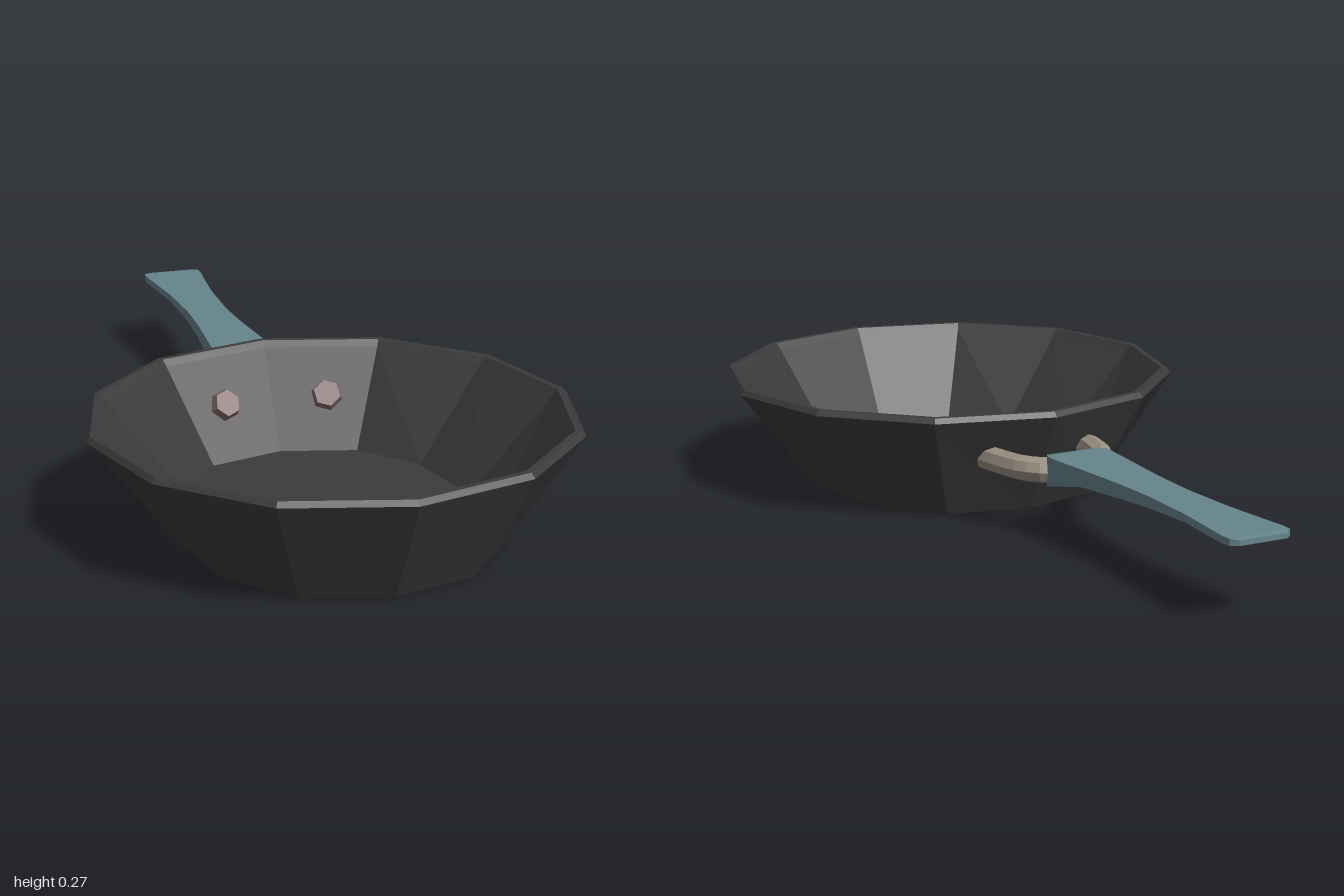
import * as THREE from 'three';

const material = (color) => new THREE.MeshStandardMaterial({ color, flatShading: true });

// Skins a row of equal-sized rings and closes both ends with a fan.
function loft(rings) {
  const n = rings[0].length;
  const points = rings.flat();
  const index = [];
  const centre = (ring) => ring.reduce((sum, p) => sum.add(p), new THREE.Vector3()).divideScalar(n);
  const start = points.push(centre(rings[0])) - 1;
  const end = points.push(centre(rings[rings.length - 1])) - 1;
  const last = (rings.length - 1) * n;
  for (let k = 0; k < n; k++) {
    const next = (k + 1) % n;
    for (let i = 0; i < last; i += n) {
      const a = i + k, b = i + next, c = b + n, d = a + n;
      index.push(a, d, c, a, c, b);
    }
    index.push(start, k, next, end, last + next, last + k);
  }
  const geometry = new THREE.BufferGeometry().setFromPoints(points);
  geometry.setIndex(index);
  const flat = geometry.toNonIndexed();
  flat.computeVertexNormals();
  return flat;
}

// Twelve-sided ring; a power below 1 makes the oval a little squarer.
function panRing([rx, rz, y, power]) {
  const bend = (v) => (Math.abs(v) < 1e-6 ? 0 : Math.sign(v) * Math.abs(v) ** power);
  return Array.from({ length: 12 }, (_, k) => {
    const a = (k / 12) * Math.PI * 2;
    return new THREE.Vector3(rx * bend(Math.cos(a)), y, rz * bend(Math.sin(a)));
  });
}

export function createModel() {
  const model = new THREE.Group();
  const add = (name, geometry, mat, parent = model) => {
    const mesh = new THREE.Mesh(geometry, mat);
    mesh.name = name;
    parent.add(mesh);
    return mesh;
  };

  // Pan bowl: outer wall, bevelled lip, inner wall, floor
  const bowl = loft([
    [0.365, 0.432, 0, 0.88],
    [0.565, 0.565, 0.255, 1],
    [0.555, 0.555, 0.267, 1],
    [0.54, 0.54, 0.267, 1],
    [0.528, 0.528, 0.252, 1],
    [0.33, 0.4, 0.03, 0.88],
  ].map(panRing));
  add('panBowl', bowl, material(0x3b3b3b)).position.z = 0.433;

  // Handle: flat tapering bar, stations are [z, half width, underside, top]
  const handle = loft([
    [-0.195, 0.05, 0.116, 0.187],
    [-0.205, 0.068, 0.116, 0.19],
    [-0.225, 0.078, 0.12, 0.192],
    [-0.25, 0.079, 0.126, 0.192],
    [-0.36, 0.069, 0.15, 0.192],
    [-0.5, 0.057, 0.158, 0.192],
    [-0.62, 0.052, 0.165, 0.192],
    [-0.78, 0.058, 0.174, 0.192],
    [-0.9, 0.07, 0.175, 0.192],
    [-0.96, 0.077, 0.176, 0.192],
    [-0.985, 0.075, 0.177, 0.192],
    [-1, 0.058, 0.178, 0.19],
  ].map(([z, w, low, high]) => [[w, low], [w, high], [-w, high], [-w, low]]
    .map(([x, y]) => new THREE.Vector3(x, y, z))));
  add('handle', handle, material(0x66858c));

  // Bent rod joining the handle to the wall
  const half = [[0.132, -0.02], [0.122, -0.09], [0.098, -0.17], [0.055, -0.207]];
  const path = [
    ...half.map(([x, z]) => new THREE.Vector3(x, 0.152, z)),
    new THREE.Vector3(0, 0.152, -0.215),
    ...half.slice().reverse().map(([x, z]) => new THREE.Vector3(-x, 0.152, z)),
  ];
  const rod = new THREE.TubeGeometry(new THREE.CatmullRomCurve3(path), 20, 0.031, 8);
  add('handleBracket', rod, material(0x9b9082));

  // Hexagonal rivets lying against the inner wall
  const rivets = new THREE.Group();
  rivets.name = 'rivets';
  model.add(rivets);
  const rivetMaterial = material(0x7f6565);
  for (const side of [1, -1]) {
    const rivet = add(side > 0 ? 'leftRivet' : 'rightRivet',
      new THREE.CylinderGeometry(0.033, 0.043, 0.035, 6), rivetMaterial, rivets);
    const normal = new THREE.Vector3(-0.26 * side, 0.65, 0.97).normalize();
    rivet.quaternion.setFromUnitVectors(new THREE.Vector3(0, 1, 0), normal);
    rivet.position.set(0.128 * side, 0.15, 0);
  }

  return model;
}
